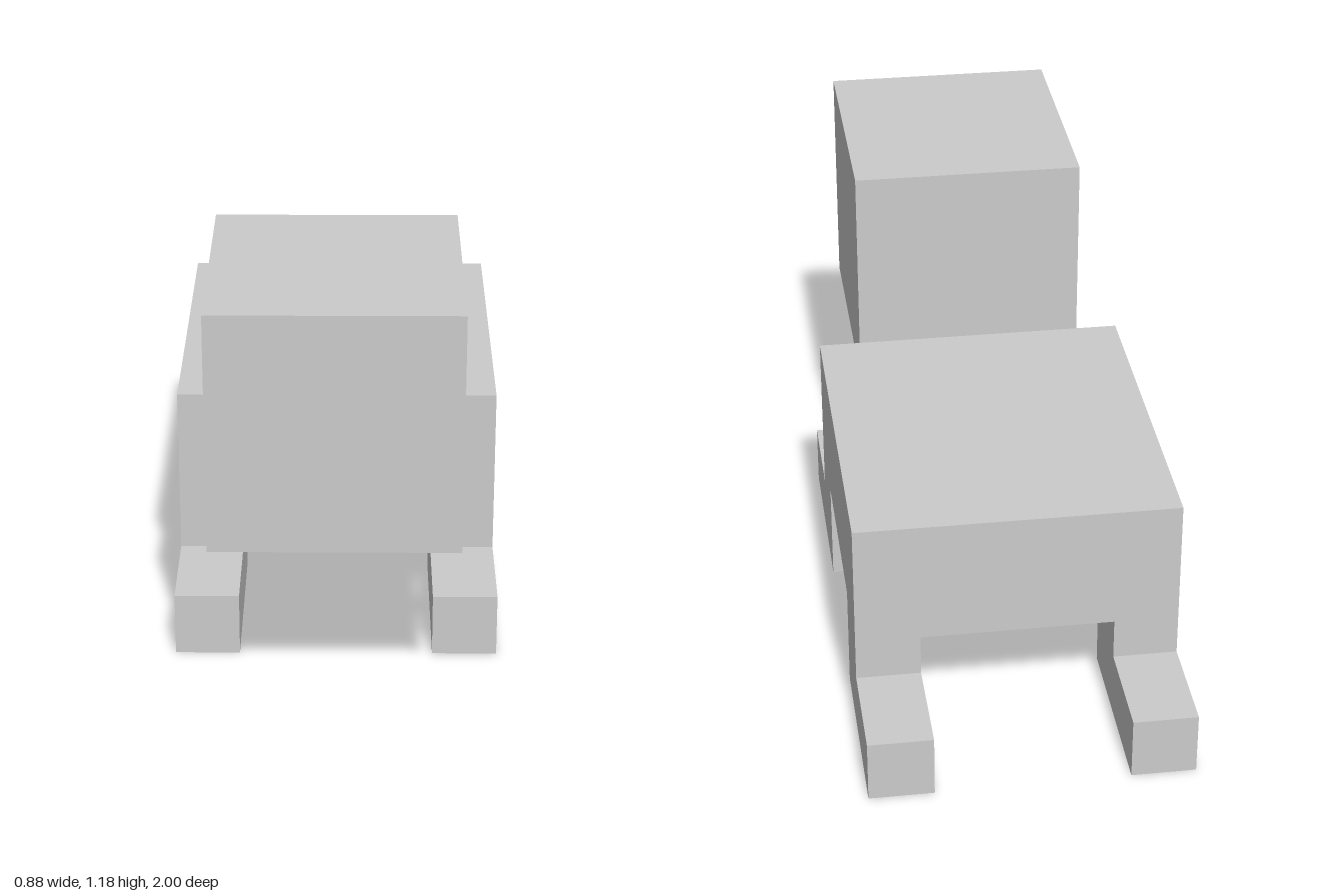
import * as THREE from 'three';

const U = 1 / 17; // the model sits on a grid of 34 units along its length
const material = new THREE.MeshStandardMaterial({ color: 0xcccccc, flatShading: true });

// Box given by its lower and upper corners in grid units
function box(name, [x0, y0, z0], [x1, y1, z1]) {
  const geometry = new THREE.BoxGeometry((x1 - x0) * U, (y1 - y0) * U, (z1 - z0) * U);
  geometry.translate((x0 + x1) / 2 * U, (y0 + y1) / 2 * U, (z0 + z1) / 2 * U);
  const mesh = new THREE.Mesh(geometry, material);
  mesh.name = name;
  return mesh;
}

// L-shaped leg with its foot: a (z, y) profile extruded across x
function leg(name, x0, width, inner, outer, toe) {
  const profile = [[inner, 0], [toe, 0], [toe, 3], [outer, 3], [outer, 5], [inner, 5]];
  const shape = new THREE.Shape(profile.map(([z, y]) => new THREE.Vector2(z * U, y * U)));
  const geometry = new THREE.ExtrudeGeometry(shape, { depth: width * U, bevelEnabled: false });
  geometry.rotateY(-Math.PI / 2).translate((x0 + width) * U, 0, 0);
  const mesh = new THREE.Mesh(geometry, material);
  mesh.name = name;
  return mesh;
}

export function createModel() {
  const model = new THREE.Group();
  model.name = 'blockAnimal';

  // Torso, and the head meeting its upper front edge
  model.add(box('body', [-7.5, 5, -12], [7.5, 11, 5]));
  model.add(box('head', [-5.5, 9, 5], [5.5, 20, 17]));

  // Front feet point forwards, back feet point backwards
  for (const [side, x0] of [['Left', 4.5], ['Right', -7.5]]) {
    model.add(leg(`front${side}Leg`, x0, 3, 1, 5, 10));
    model.add(leg(`back${side}Leg`, x0, 3, -8, -12, -17));
  }
  return model;
}
